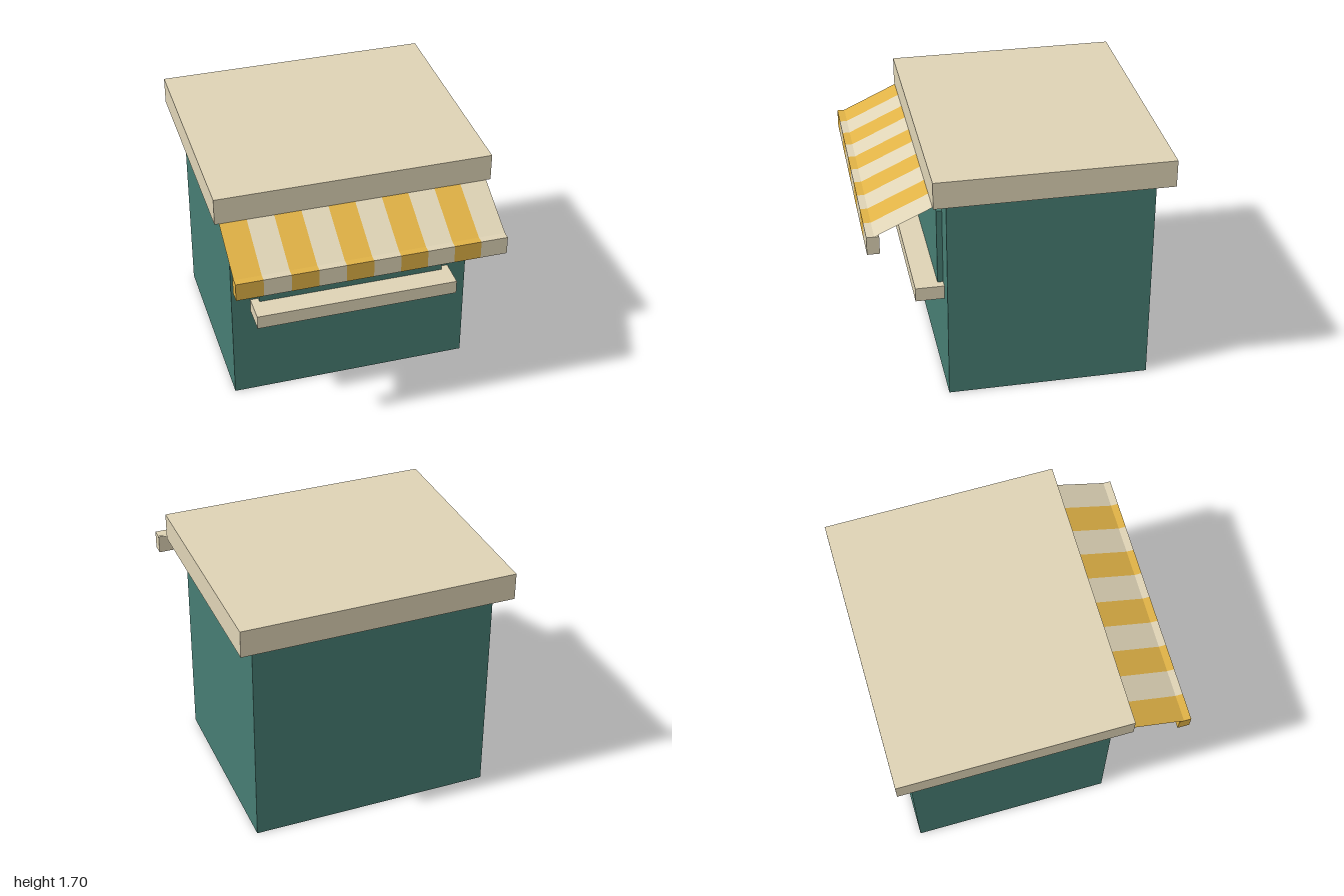
import * as THREE from 'three';

function material(name, color, extra = {}) {
  const m = new THREE.MeshStandardMaterial({ color, ...extra });
  m.name = name;
  return m;
}

export function createModel() {
  const group = new THREE.Group();
  const green = material('green', 0x477d73);
  const cream = material('cream', 0xdfd4b6, { side: THREE.DoubleSide });
  const yellow = material('yellow', 0xe0b246, { side: THREE.DoubleSide });

  // Box from its min/max extents on each axis
  function box(name, mat, [x0, x1], [y0, y1], [z0, z1], parent = group) {
    const mesh = new THREE.Mesh(new THREE.BoxGeometry(x1 - x0, y1 - y0, z1 - z0), mat);
    mesh.position.set((x0 + x1) / 2, (y0 + y1) / 2, (z0 + z1) / 2);
    mesh.name = name;
    parent.add(mesh);
    return mesh;
  }

  // Stall body, roof slab, serving hatch and counter
  box('body', green, [-0.83, 0.83], [0, 1.49], [-0.9, 0.48]);
  box('roof', cream, [-0.935, 0.935], [1.51, 1.697], [-1, 0.577]);
  box('hatch', green, [-0.645, 0.645], [0.72, 1.325], [0.48, 0.518]);
  box('counter', cream, [-0.7, 0.7], [0.682, 0.78], [0.48, 0.675]);

  // Awning: ten stripes, each a thin sloped sheet with a hanging valance block
  const awning = new THREE.Group();
  awning.name = 'awning';
  group.add(awning);
  const count = 10, width = 1.81 / count;
  const top = { y: 1.515, z: 0.56 }, bottom = { y: 1.333, z: 0.952 };
  const rise = top.y - bottom.y, run = bottom.z - top.z;
  const sheet = new THREE.PlaneGeometry(width, Math.hypot(rise, run));
  sheet.rotateX(-Math.atan2(run, rise));
  for (let i = 0; i < count; i++) {
    const mat = i % 2 ? cream : yellow;
    const x = -0.905 + width * i;
    const stripe = new THREE.Mesh(sheet, mat);
    stripe.position.set(x + width / 2, (top.y + bottom.y) / 2, (top.z + bottom.z) / 2);
    stripe.name = 'awningStripe';
    awning.add(stripe);
    box('valance', mat, [x, x + width], [1.208, 1.334], [0.918, 1], awning);
  }
  return group;
}
